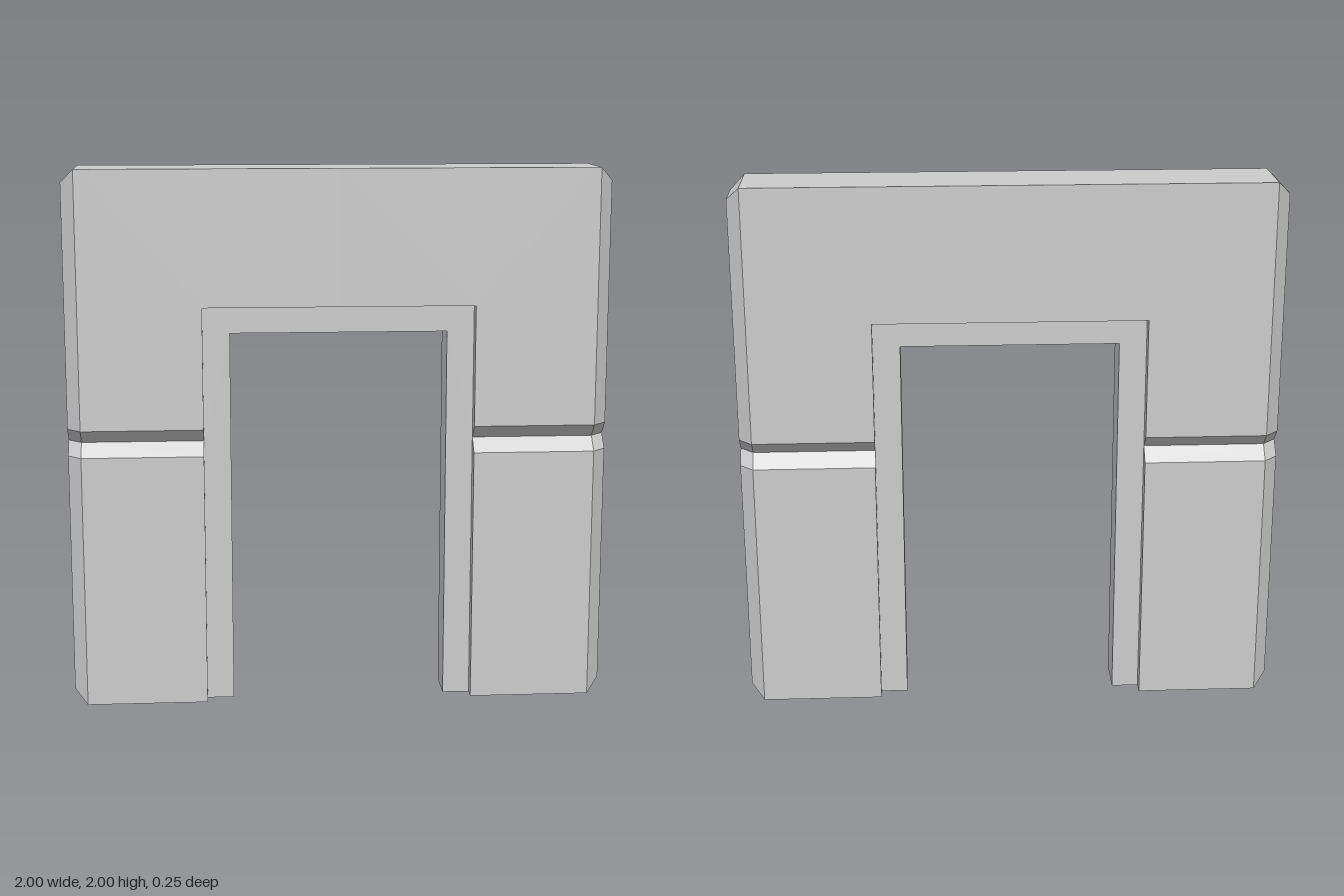
import * as THREE from 'three';

const D = 0.125; // half depth of the outer slab
const C = 0.075; // half depth of the lining, the groove floor and the end faces
const T = 0.025; // groove floor at the end faces
const E = 0.95;  // where the end chamfers start

// Places 2D points in a plane of constant x, y or z.
const atX = (x, pts) => pts.map(([y, z]) => [x, y, z]);
const atY = (y, pts) => pts.map(([x, z]) => [x, y, z]);
const atZ = (z, pts) => pts.map(([x, y]) => [x, y, z]);

// Builds a mesh from polygons of the +x +z quarter, fanned from their first
// corner and mirrored into the other three quarters.
function quarterMesh(name, polygons, material) {
  const pos = [];
  for (const sx of [1, -1]) for (const sz of [1, -1]) {
    for (const p of polygons) {
      for (let i = 1; i < p.length - 1; i++) {
        const tri = sx * sz > 0 ? [p[0], p[i], p[i + 1]] : [p[0], p[i + 1], p[i]];
        for (const [x, y, z] of tri) pos.push(x * sx, y, z * sz);
      }
    }
  }
  const geometry = new THREE.BufferGeometry();
  geometry.setAttribute('position', new THREE.Float32BufferAttribute(pos, 3));
  geometry.computeVertexNormals();
  const mesh = new THREE.Mesh(geometry, material);
  mesh.name = name;
  return mesh;
}

export function createModel() {
  const group = new THREE.Group();
  group.name = 'doorwayWall';
  const material = new THREE.MeshStandardMaterial({ color: 0xcccccc, flatShading: true });

  // Broad faces, top and the soles of the two legs
  const wall = [
    atZ(D, [[0.5, 1.5], [0.5, 1.05], [E, 1.05], [E, 2], [0, 2], [0, 1.5]]),
    atZ(D, [[0.5, 0], [E, 0], [E, 0.95], [0.5, 0.95]]),
    atY(2, [[0, 0], [0, D], [E, D], [E, 0]]),
    atY(0, [[0.5, C], [0.4, C], [0.4, 0], [E, 0], [E, D], [0.5, D]]),
  ];

  // Chamfered ends: corner bevels, top and bottom slopes, notched end face
  const ends = [
    [[E, 1.05, D], [1, 1.05, C], [1, 1.95, C], [E, 2, D]],
    [[E, 0, D], [1, 0.05, C], [1, 0.95, C], [E, 0.95, D]],
    [[E, 2, 0], [E, 2, D], [1, 1.95, C], [1, 1.95, 0]],
    [[1, 0.05, 0], [1, 0.05, C], [E, 0, D], [E, 0, 0]],
    atX(1, [[1, T], [0.95, C], [0.05, C], [0.05, 0], [1.95, 0], [1.95, C], [1.05, C]]),
  ];

  // V-groove at mid height, wrapping over the corner bevels
  const groove = [
    [[0.5, 1, C], [E, 1, C], [E, 1.05, D], [0.5, 1.05, D]],
    [[0.5, 0.95, D], [E, 0.95, D], [E, 1, C], [0.5, 1, C]],
    [[E, 1, C], [1, 1, T], [1, 1.05, C], [E, 1.05, D]],
    [[E, 0.95, D], [1, 0.95, C], [1, 1, T], [E, 1, C]],
  ];

  // Step down from the wall face to the recessed lining
  const step = [
    atX(0.5, [[0, C], [0, D], [0.95, D], [1, C]]),
    atX(0.5, [[1, C], [1.05, D], [1.5, D], [1.5, C]]),
    atY(1.5, [[0, C], [0.5, C], [0.5, D], [0, D]]),
  ];

  // Lining of the opening: front band, jamb and head
  const lining = [
    atZ(C, [[0.4, 1.4], [0.4, 0], [0.5, 0], [0.5, 1], [0.5, 1.5], [0, 1.5], [0, 1.4]]),
    atX(0.4, [[0, 0], [0, C], [1.4, C], [1.4, 0]]),
    atY(1.4, [[0, 0], [0.4, 0], [0.4, C], [0, C]]),
  ];

  const parts = { wall, chamferedEnds: ends, groove, openingStep: step, openingLining: lining };
  for (const [name, polygons] of Object.entries(parts)) {
    group.add(quarterMesh(name, polygons, material));
  }
  return group;
}
